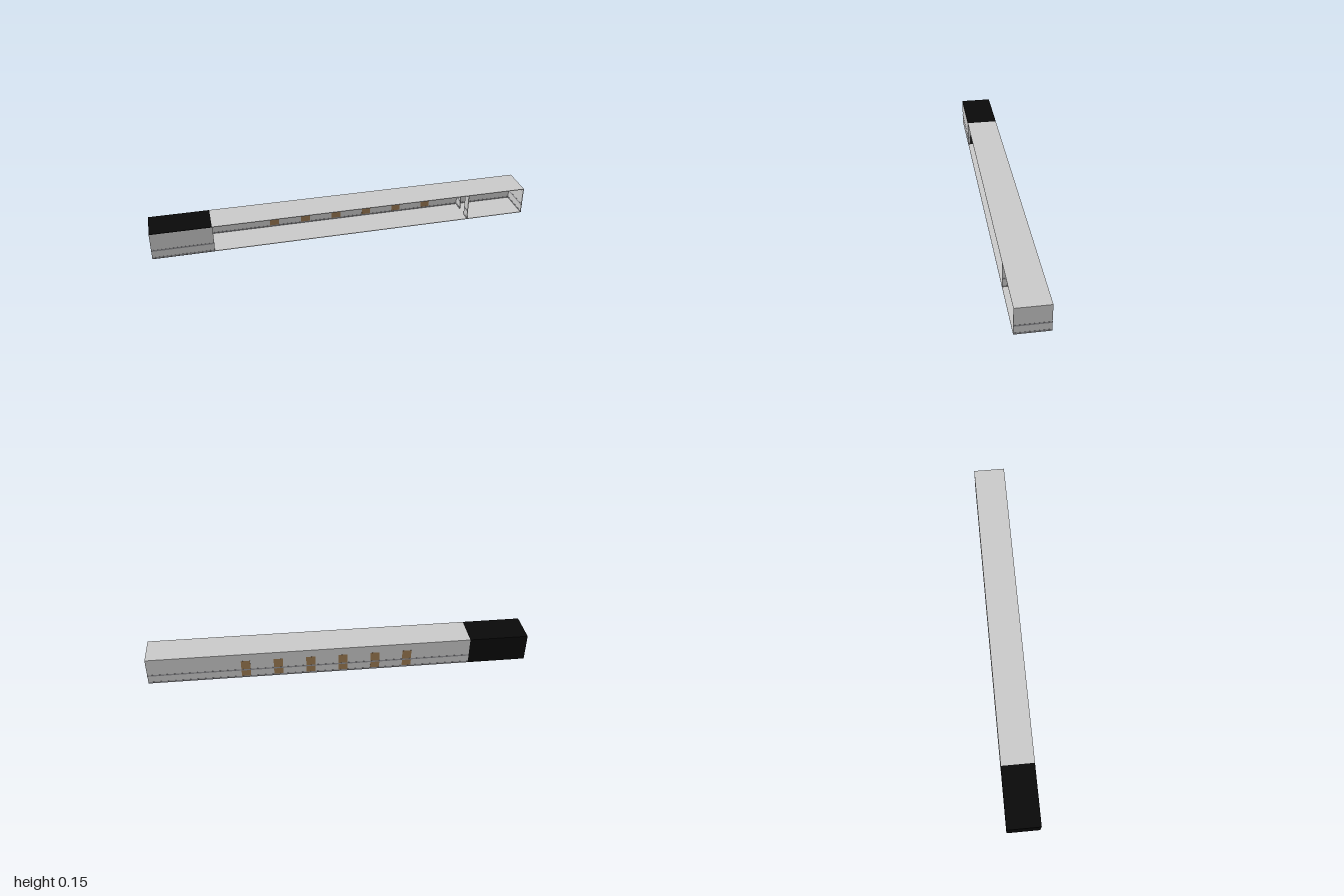
import * as THREE from 'three';

const material = (color) => new THREE.MeshStandardMaterial({ color });
const grey = material(0xcccccc);
const trim = material(0x96969a);
const brown = material(0x9c7a52);
const black = material(0x0a0a0a);

const H = 0.147;      // height
const D = 0.085;      // half depth
const T = 0.003;      // panel thickness
const ROOM = -0.69;   // where the dark room ends

// Box given by its minimum and maximum corners
function block(name, mat, x0, x1, y0, y1, z0, z1) {
  const mesh = new THREE.Mesh(new THREE.BoxGeometry(x1 - x0, y1 - y0, z1 - z0), mat);
  mesh.position.set((x0 + x1) / 2, (y0 + y1) / 2, (z0 + z1) / 2);
  mesh.name = name;
  return mesh;
}

// Thin wall with a baseboard and a handrail band showing on both faces
function bandedWall(name, x0, x1, z0, z1) {
  const wall = new THREE.Group();
  wall.name = name;
  const e = 0.0008;
  const dx = x1 - x0 < z1 - z0 ? e : 0;
  const dz = dx ? 0 : e;
  wall.add(block('panel', grey, x0, x1, T, H - T, z0, z1));
  wall.add(block('baseboard', trim, x0 - dx, x1 + dx, 0.002, 0.01, z0 - dz, z1 + dz));
  wall.add(block('band', trim, x0 - dx, x1 + dx, 0.045, 0.053, z0 - dz, z1 + dz));
  return wall;
}

// Cross wall with a doorway between z0 and z1
function partition(name, x, z0, z1) {
  const group = new THREE.Group();
  group.name = name;
  group.add(bandedWall('frontJamb', x - T / 2, x + T / 2, z1, D - 0.001));
  group.add(bandedWall('backJamb', x - T / 2, x + T / 2, -D + T, z0));
  group.add(block('lintel', grey, x - T / 2, x + T / 2, 0.13, H - T, z0, z1));
  return group;
}

// Door with a window on its corridor side
function door(x) {
  const group = new THREE.Group();
  group.name = 'door';
  const zc = -D + T / 2;
  const t = T / 2 + 0.0005;
  group.add(block('leaf', brown, x - 0.024, x + 0.024, 0.01, 0.105, zc - t, zc + t));
  group.add(block('window', grey, x - 0.015, x + 0.015, 0.06, 0.098, zc, zc + t + 0.0005));
  return group;
}

export function createModel() {
  const model = new THREE.Group();
  model.name = 'corridor';

  // Open-fronted corridor shell
  model.add(block('floor', grey, ROOM, 1, 0, T, -D, D));
  model.add(block('ceiling', grey, ROOM, 1, H - T, H, -D, D));
  model.add(bandedWall('backWall', ROOM, 1, -D, -D + T));
  model.add(bandedWall('endWall', 1 - T, 1, -D, D));

  // Row of doors in the back wall
  for (let i = 0; i < 6; i++) model.add(door(-0.353 + i * 0.1693));

  // Cross walls with doorways
  model.add(partition('rightPartition', ROOM + T / 2, 0.012, 0.072));
  model.add(partition('leftPartition', 0.683, -0.025, 0.035));

  // Dark room at the far end
  const room = new THREE.Group();
  room.name = 'darkRoom';
  room.add(block('floor', black, -1, ROOM, 0, T, -D, D));
  room.add(block('ceiling', black, -1, ROOM, H - T, H, -D, D));
  room.add(block('backWall', black, -1, ROOM, T, H - T, -D, -D + T));
  room.add(block('endWall', black, -1, -1 + T, T, H - T, -D + T, D - T));
  room.add(block('frontLining', black, -1 + T, ROOM, T, H - T, D - 2 * T, D - T - 0.001));
  room.add(bandedWall('frontWall', -1, ROOM, D - T, D));
  model.add(room);

  return model;
}
